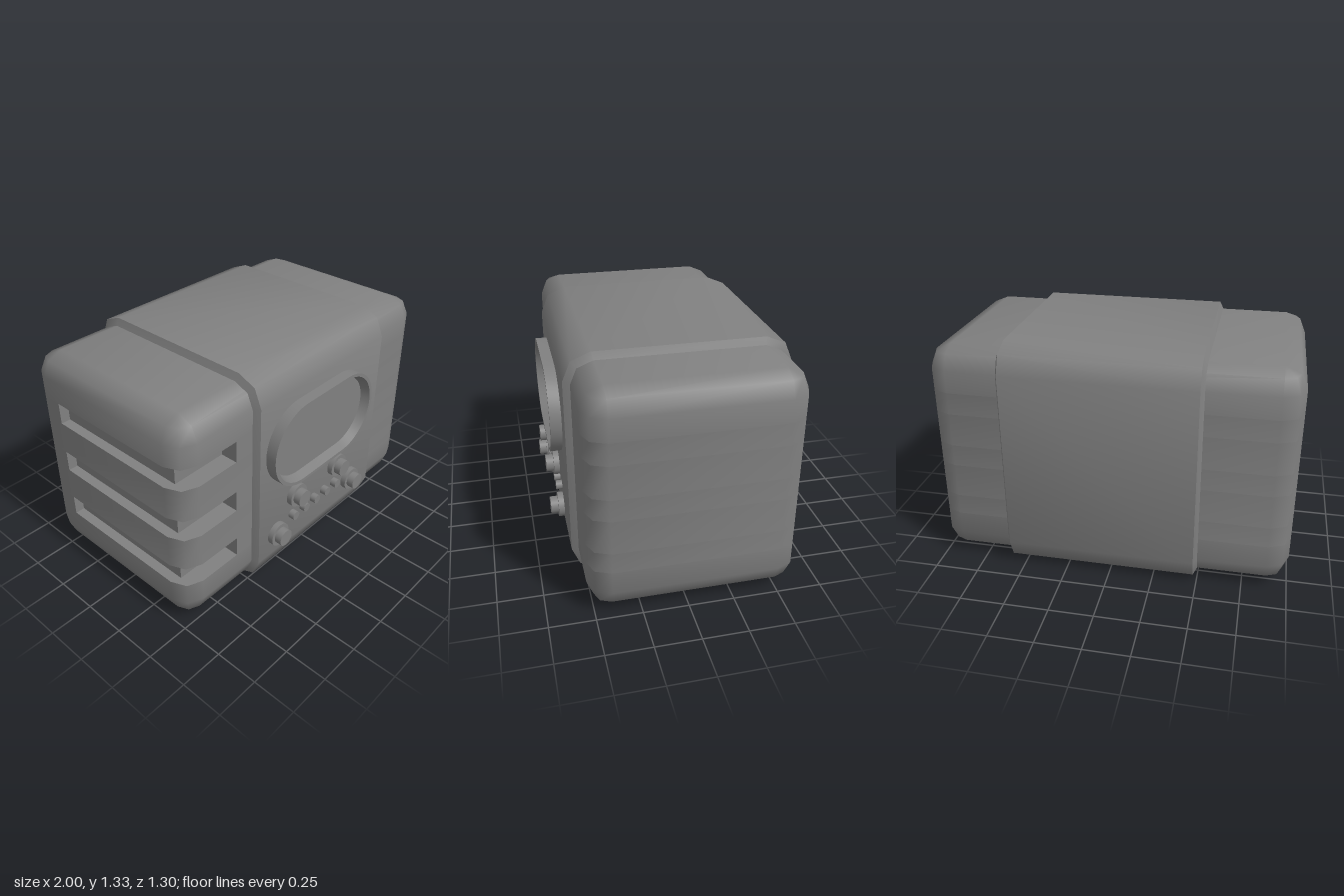
import * as THREE from 'three';
import { toCreasedNormals } from 'three/addons/utils/BufferGeometryUtils.js';

const CY = 0.665, CZ = -0.04; // centre of the cabinet
const HY = 0.625, HZ = 0.57; // cabinet half height and half depth

// How a cross-section point (u, v) at position w along the axis maps to space
const AXES = {
  x: (u, v, w) => new THREE.Vector3(w, u, v),
  y: (u, v, w) => new THREE.Vector3(v, w, u),
  z: (u, v, w) => new THREE.Vector3(u, v, w),
};

// Counter-clockwise rounded rectangle, n segments per corner
function roundedRing(hu, hv, r, n = 2) {
  const points = [];
  [[1, 1], [-1, 1], [-1, -1], [1, -1]].forEach(([su, sv], c) => {
    for (let i = 0; i <= n; i++) {
      const a = (c + i / n) * Math.PI / 2;
      points.push([su * (hu - r) + r * Math.cos(a), sv * (hv - r) + r * Math.sin(a)]);
    }
  });
  return points;
}

// Skin a list of [ring, w] sections along an axis, with optional flat ends
function loft(axis, sections, capStart, capEnd) {
  const rings = sections.map(([ring, w]) => ring.map(([u, v]) => AXES[axis](u, v, w)));
  const pos = [];
  const tri = (a, b, c) => {
    const area = b.clone().sub(a).cross(c.clone().sub(a)).length();
    if (area > 1e-9) for (const p of [a, b, c]) pos.push(p.x, p.y, p.z);
  };
  const n = rings[0].length;
  for (let k = 0; k < rings.length - 1; k++) {
    for (let i = 0; i < n; i++) {
      const j = (i + 1) % n, p = rings[k], q = rings[k + 1];
      tri(p[i], p[j], q[j]);
      tri(p[i], q[j], q[i]);
    }
  }
  const start = AXES[axis](0, 0, sections[0][1]);
  const end = AXES[axis](0, 0, sections[sections.length - 1][1]);
  for (let i = 0; i < n; i++) {
    const j = (i + 1) % n;
    if (capStart) tri(start, rings[0][j], rings[0][i]);
    if (capEnd) tri(end, rings[rings.length - 1][i], rings[rings.length - 1][j]);
  }
  const geo = new THREE.BufferGeometry();
  geo.setAttribute('position', new THREE.Float32BufferAttribute(pos, 3));
  return toCreasedNormals(geo, Math.PI / 3);
}

export function createModel() {
  const model = new THREE.Group();
  model.name = 'tabletopRadio';
  const grey = new THREE.MeshStandardMaterial({ color: 0x808080 });
  grey.name = 'grey';

  const add = (parent, name, geo, x = 0, y = 0, z = 0) => {
    const mesh = new THREE.Mesh(geo, grey);
    mesh.name = name;
    mesh.position.set(x, y, z);
    parent.add(mesh);
    return mesh;
  };

  // Cabinet: stacked layers, alternating full and notched outlines
  const cabinet = new THREE.Group();
  cabinet.name = 'cabinet';
  cabinet.position.z = CZ;
  model.add(cabinet);

  const R = 0.12, K = R * (1 - Math.SQRT1_2);
  const outline = (inset) => roundedRing(HZ - inset, 1 - inset, R - inset);
  const full = outline(0);
  const bottom = CY - HY, top = CY + HY;
  const slots = [[0.29, 0.41], [0.605, 0.73], [0.92, 1.045]];

  add(cabinet, 'cabinetBase', loft('y', [
    [outline(R), bottom], [outline(K), bottom + K], [full, bottom + R], [full, slots[0][0]],
  ], true, true));
  for (let i = 0; i < 2; i++) {
    add(cabinet, 'cabinetRib', loft('y', [[full, slots[i][1]], [full, slots[i + 1][0]]], true, true));
  }
  add(cabinet, 'cabinetTop', loft('y', [
    [full, slots[2][1]], [full, top - R], [outline(K), top - K], [outline(R), top],
  ], true, true));

  // Speaker slots wrap around the front corner of the right end
  const notched = [...full.slice(0, 9),
    [-0.36, -1], [-0.36, -0.945], [0.47, -0.945], [0.47, -0.62], [HZ, -0.62]];
  for (const [y0, y1] of slots) {
    add(cabinet, 'speakerSlot', loft('y', [[notched, y0], [notched, y1]], false, false));
  }

  // Raised band around the middle, bevelled at both ends
  const inner = roundedRing(HY, HZ, R);
  const outer = roundedRing(HY + 0.04, HZ + 0.037, 0.15);
  add(model, 'centreBand', loft('x', [
    [inner, -0.5], [outer, -0.48], [outer, 0.578], [inner, 0.597],
  ], false, false), 0, CY, CZ);

  // Display: pill-shaped frame with a tapered recess
  const pill = (hw, hh) => roundedRing(hw, hh, hh - 0.001, 12);
  add(model, 'displayFrame', loft('z', [
    [pill(0.433, 0.252), 0.56], [pill(0.433, 0.252), 0.63],
    [pill(0.412, 0.234), 0.63], [pill(0.392, 0.214), 0.58],
  ], false, true), 0, 0.855, 0);

  // Knobs and buttons face forward
  const disc = (r, d) => new THREE.CylinderGeometry(r, r, d, 32).rotateX(Math.PI / 2);
  for (const [x, y] of [[-0.19, 0.49], [0.185, 0.49], [-0.345, 0.3], [0.34, 0.3]]) {
    const knob = new THREE.Group();
    knob.name = 'knob';
    knob.position.set(x, y, 0);
    model.add(knob);
    add(knob, 'knobFlange', disc(0.07, 0.032), 0, 0, 0.593);
    add(knob, 'knobCap', disc(0.049, 0.044), 0, 0, 0.629);
  }
  for (let i = -2; i <= 2; i++) {
    add(model, 'smallButton', disc(0.027, 0.045), i * 0.099, 0.34, 0.5805);
  }
  return model;
}
